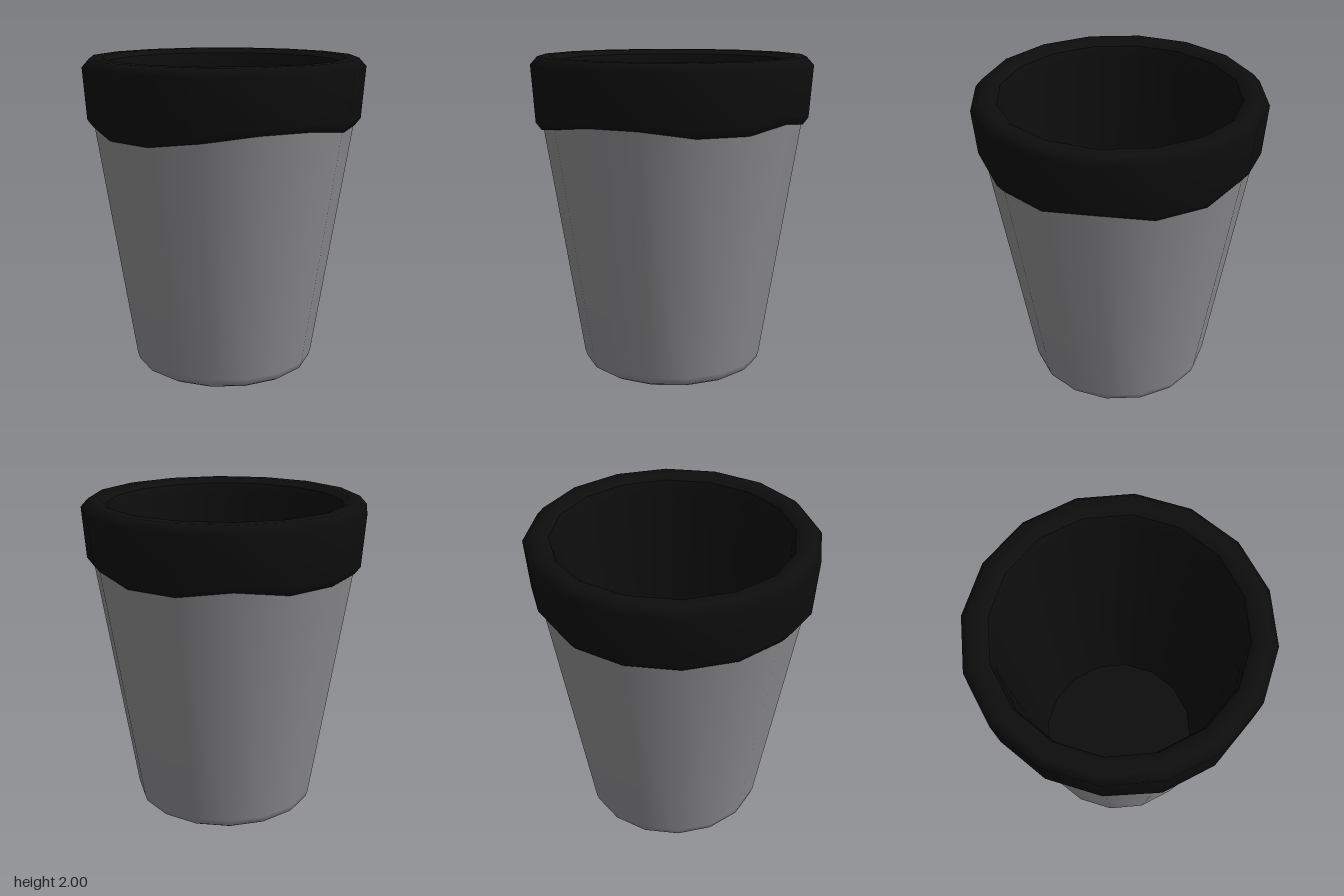
import * as THREE from 'three';

const SIDES = 16;
const grey = new THREE.MeshStandardMaterial({ color: 0x8b8b8e });
grey.name = 'potGrey';
const black = new THREE.MeshStandardMaterial({ color: 0x0d0d0d });
black.name = 'rimBlack';

// Height steps of the rim's uneven lower edge, one per side, from +z towards +x
const EDGE = [0, 1, 1, 0, 0, 1, 0, 0, 1, 0, 0, 0, 0, 0, -1, -1];
const STEP = 0.04;

const lathe = (profile) =>
  new THREE.LatheGeometry(profile.map(([r, y]) => new THREE.Vector2(r, y)), SIDES);

export function createModel() {
  const model = new THREE.Group();
  model.name = 'plantPot';
  const add = (name, geometry, material) => {
    const mesh = new THREE.Mesh(geometry, material);
    mesh.name = name;
    model.add(mesh);
    return mesh;
  };

  // Tapered body with a small rounded foot, tucked under the rim
  add('body', lathe([[0.548, 0], [0.575, 0.018], [0.588, 0.06], [0.835, 1.66]]), grey);

  // Flat underside
  const base = add('base', new THREE.CircleGeometry(0.548, SIDES), grey);
  base.rotation.x = Math.PI / 2;

  // Bevelled rim: the two lowest rings follow the uneven edge
  const profile = [[0.815, 1.583], [0.832, 1.583], [0.867, 1.63], [0.89, 1.95], [0.845, 2], [0.77, 2], [0.735, 1.97]];
  const rim = lathe(profile);
  const pos = rim.attributes.position;
  for (let i = 0; i < pos.count; i++) {
    const ring = i % profile.length;
    const side = Math.floor(i / profile.length) % SIDES;
    if (ring < 3) pos.setY(i, pos.getY(i) + EDGE[side] * STEP);
  }
  add('rim', rim, black);

  // Hollow inside
  add('innerWall', lathe([[0.735, 1.97], [0.715, 1.9], [0.535, 0.1]]), black);
  const floor = add('innerFloor', new THREE.CircleGeometry(0.535, SIDES), black);
  floor.rotation.x = -Math.PI / 2;
  floor.position.y = 0.1;

  return model;
}
